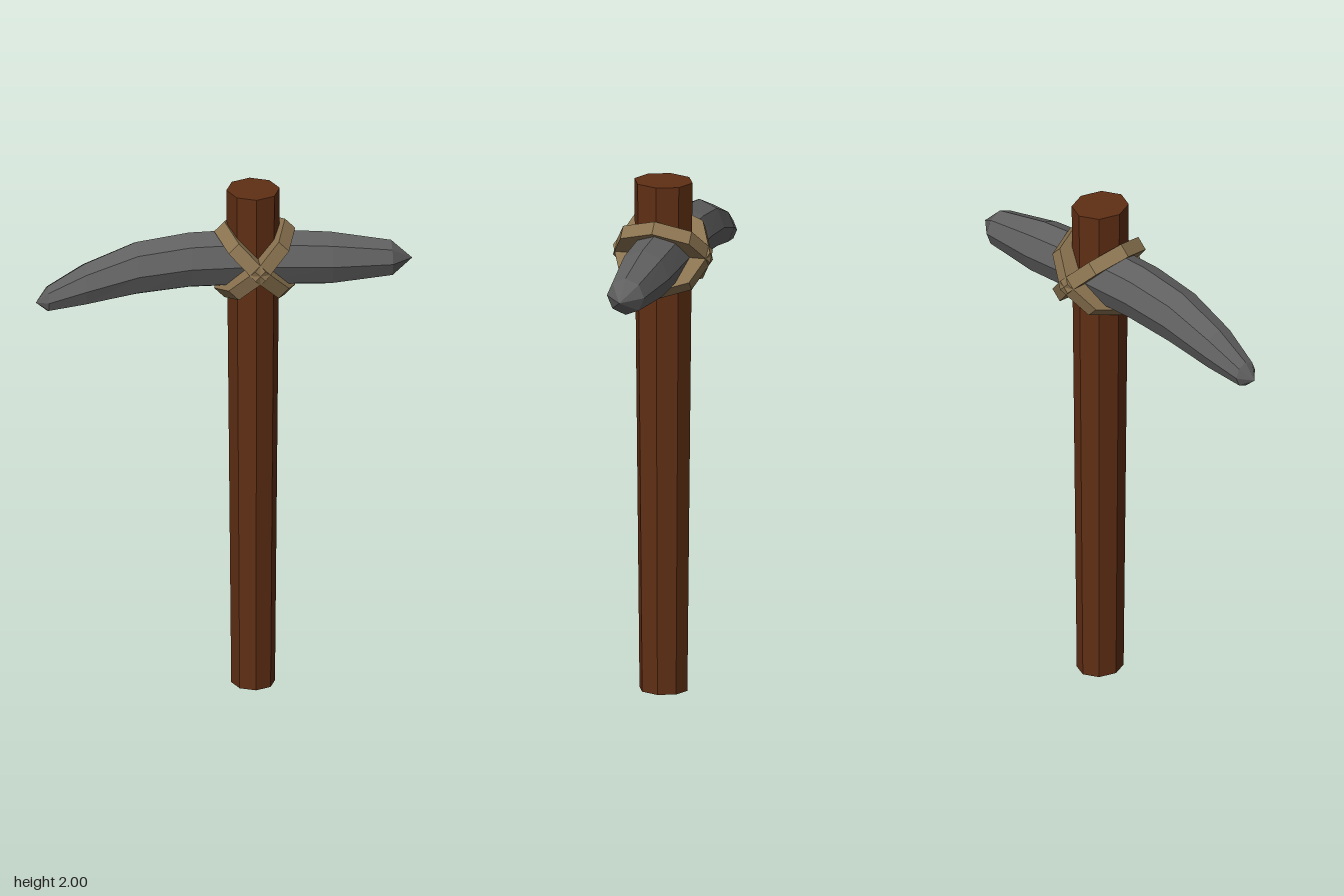
import * as THREE from 'three';

const SIDES = 8;
const AXIS_X = 0.107; // centre line of the handle

function mesh(name, geometry, color) {
  const material = new THREE.MeshStandardMaterial({ color, flatShading: true });
  const m = new THREE.Mesh(geometry, material);
  m.name = name;
  return m;
}

// Closed skin over octagonal rings [x, bottom, top, zBack, zFront]; first and last are points
function loft(rings) {
  const pos = [];
  const index = [];
  for (const [x, y0, y1, z0, z1] of rings) {
    for (let j = 0; j < SIDES; j++) {
      const a = (j / SIDES) * Math.PI * 2;
      pos.push(x, (y0 + y1) / 2 + ((y1 - y0) / 2) * Math.cos(a), (z0 + z1) / 2 + ((z1 - z0) / 2) * Math.sin(a));
    }
  }
  for (let i = 0; i < rings.length - 1; i++) {
    for (let j = 0; j < SIDES; j++) {
      const a = i * SIDES + j;
      const b = i * SIDES + ((j + 1) % SIDES);
      const c = a + SIDES;
      const d = b + SIDES;
      if (i > 0) index.push(a, b, c);
      if (i < rings.length - 2) index.push(b, d, c);
      else index.push(); // last span closes to a point
      if (i === 0) continue;
    }
  }
  const g = new THREE.BufferGeometry();
  g.setAttribute('position', new THREE.Float32BufferAttribute(pos, 3));
  g.setIndex(index);
  const flat = g.toNonIndexed();
  flat.computeVertexNormals();
  return flat;
}

export function createModel() {
  const group = new THREE.Group();

  // Tapered wooden handle, slightly deeper than wide
  const handle = mesh('handle', new THREE.CylinderGeometry(0.101, 0.083, 2, SIDES), 0x5f2e14);
  handle.scale.z = 1.13;
  handle.position.set(AXIS_X, 1, 0);
  group.add(handle);

  // Curved stone head, drooping on one side
  group.add(mesh('stoneHead', loft([
    [-0.715, 1.572, 1.572, -0.013, -0.013],
    [-0.67, 1.535, 1.635, -0.065, 0.035],
    [-0.53, 1.555, 1.72, -0.095, 0.067],
    [-0.335, 1.59, 1.80, -0.112, 0.085],
    [-0.135, 1.61, 1.83, -0.118, 0.095],
    [0.11, 1.61, 1.835, -0.117, 0.1],
    [0.4, 1.602, 1.812, -0.106, 0.1],
    [0.63, 1.625, 1.768, -0.075, 0.071],
    [0.71, 1.693, 1.693, 0, 0],
  ]), 0x606060));

  // Two crossed bindings
  for (const side of [-1, 1]) {
    const binding = mesh(side < 0 ? 'rightBinding' : 'leftBinding',
      new THREE.CylinderGeometry(0.19, 0.19, 0.055, SIDES), 0x8a7350);
    binding.position.set(AXIS_X + 0.006, 1.72, 0);
    binding.rotation.z = side * Math.PI / 4;
    group.add(binding);
  }

  return group;
}
